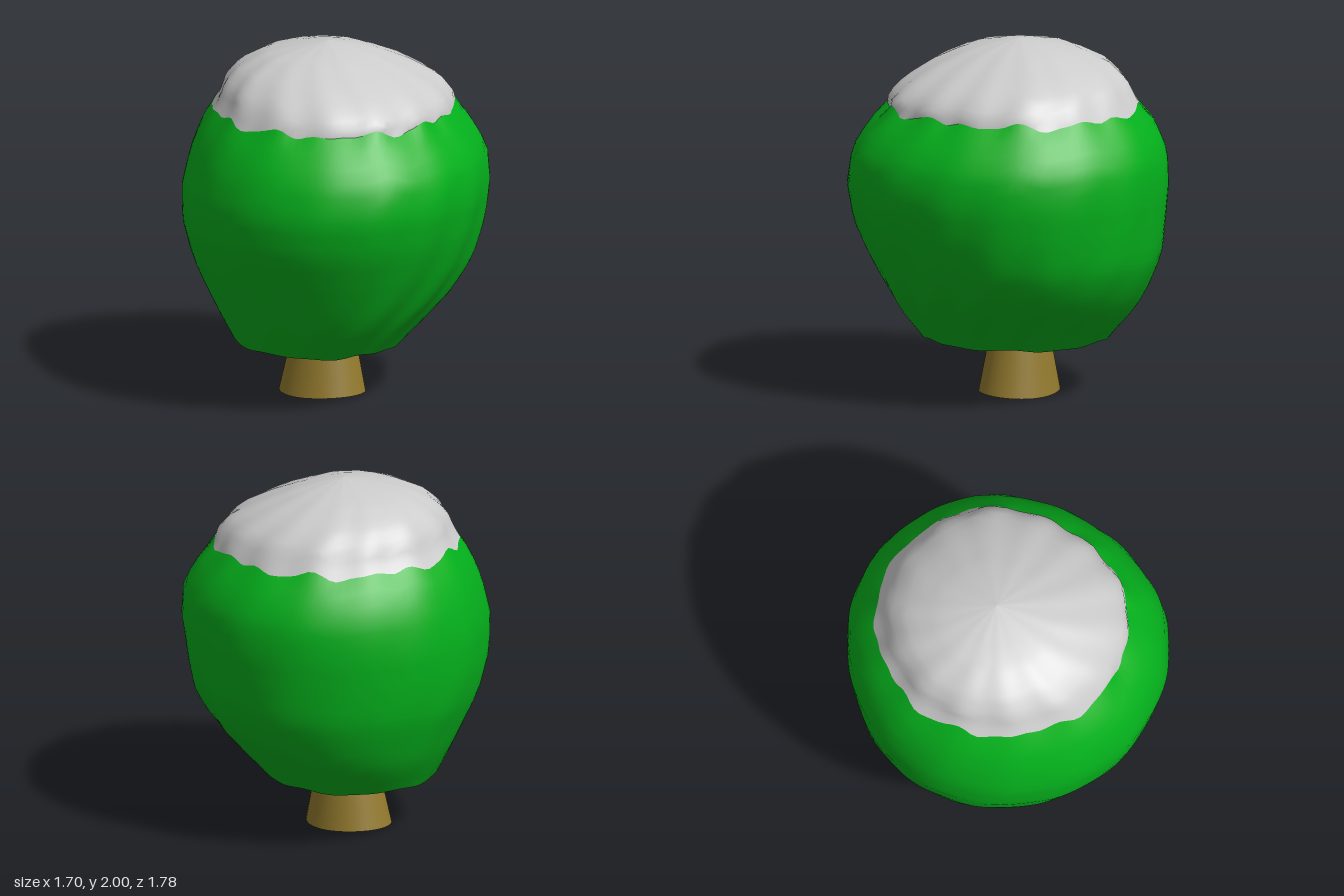
import * as THREE from 'three';

// Outline of the crown: y, left x, right x, back z, front z
const OUTLINE = [
  [0.30, -0.55, 0.38, -0.565, 0.435],
  [0.34, -0.575, 0.41, -0.59, 0.465],
  [0.50, -0.655, 0.56, -0.72, 0.595],
  [0.63, -0.72, 0.68, -0.78, 0.67],
  [0.80, -0.80, 0.78, -0.845, 0.755],
  [1.00, -0.855, 0.825, -0.87, 0.845],
  [1.20, -0.86, 0.85, -0.885, 0.887],
  [1.385, -0.815, 0.838, -0.873, 0.86],
  [1.54, -0.75, 0.75, -0.81, 0.76],
  [1.63, -0.69, 0.67, -0.735, 0.66],
  [1.69, -0.655, 0.65, -0.695, 0.655],
  [1.775, -0.62, 0.585, -0.655, 0.56],
  [1.86, -0.535, 0.43, -0.57, 0.41],
  [1.94, -0.385, 0.235, -0.40, 0.22],
  [1.982, -0.18, 0.07, -0.21, 0.05],
  [2.00, -0.04, -0.04, -0.07, -0.07],
];

function outlineAt(y) {
  let k = 0;
  while (k < OUTLINE.length - 2 && y > OUTLINE[k + 1][0]) k++;
  const t = (y - OUTLINE[k][0]) / (OUTLINE[k + 1][0] - OUTLINE[k][0]);
  return OUTLINE[k].map((v, i) => v + (OUTLINE[k + 1][i] - v) * t);
}

// Point on the crown: flatter at its front left corner, with shallow folds that twist as they climb
function crownPoint(angle, y) {
  const [, x0, x1, z0, z1] = outlineAt(y);
  const h = y - 0.3;
  const swirl = angle - 0.9 * h + 0.3 * h * h;
  const creased = Math.max(0, Math.cos(angle - 0.7 - 0.3 * h)) * Math.max(0, 1 - Math.abs(h - 0.3) / 0.9);
  const cap = THREE.MathUtils.smoothstep(y, 1.5, 1.72);
  const depth = 0.004 + 0.014 * creased + 0.014 * cap;
  const wave = Math.sin(14 * swirl) * 0.7 + Math.sin(5 * swirl + 1) * 0.3;
  const diagonal = Math.sin(2 * angle);
  const corner = diagonal > 0 ? (Math.cos(angle) > 0 ? -0.055 * diagonal : 0) : -0.016 * diagonal;
  const scale = 1 + corner - depth * (0.25 + wave);
  return [
    (x0 + x1) / 2 + (x1 - x0) / 2 * scale * Math.sin(angle),
    y,
    (z0 + z1) / 2 + (z1 - z0) / 2 * scale * Math.cos(angle),
  ];
}

// Ragged line where the cap meets the leaves, and the lower leaf edge
const capEdge = a => 1.638 + 0.013 * Math.sin(14 * a + 0.6) + 0.011 * Math.sin(9 * a + 2) + 0.006 * Math.sin(23 * a);
const leafEdge = a => 0.322 + 0.006 * Math.sin(6 * a) + 0.004 * Math.sin(11 * a);

// Closed rings of points joined into a smooth skin
function skin(rows, cols, pointAt) {
  const positions = [], index = [];
  for (let j = 0; j <= rows; j++) {
    for (let i = 0; i < cols; i++) positions.push(...pointAt(i / cols * Math.PI * 2, j / rows));
  }
  for (let j = 0; j < rows; j++) {
    for (let i = 0; i < cols; i++) {
      const n = (i + 1) % cols;
      const a = j * cols + i, b = j * cols + n, c = b + cols, d = a + cols;
      index.push(a, b, c, a, c, d);
    }
  }
  const geometry = new THREE.BufferGeometry();
  geometry.setAttribute('position', new THREE.Float32BufferAttribute(positions, 3));
  geometry.setIndex(index);
  geometry.computeVertexNormals();
  return geometry;
}

function part(name, geometry, color) {
  const material = new THREE.MeshStandardMaterial({ color, side: THREE.DoubleSide });
  const mesh = new THREE.Mesh(geometry, material);
  mesh.name = name;
  return mesh;
}

export function createModel() {
  const group = new THREE.Group();
  group.name = 'snowyTree';

  // Leaves: hollow skin, open underneath
  group.add(part('foliage', skin(18, 112, (a, s) =>
    crownPoint(a, THREE.MathUtils.lerp(leafEdge(a), capEdge(a), s))), 0x04b01c));

  // Snow: domed cap continuing the crown up to its peak
  group.add(part('snowCap', skin(14, 112, (a, s) =>
    crownPoint(a, THREE.MathUtils.lerp(capEdge(a), 2, Math.sin(s * Math.PI / 2)))), 0xcccccc));

  // Trunk: tapered open tube, slightly oval, with an uneven foot
  group.add(part('trunk', skin(6, 40, (a, s) => {
    const radius = 0.23 - 0.112 * s + 0.016 * (1 - s) * Math.sin(2 * a);
    const foot = (0.01 + 0.006 * Math.sin(2 * a + 1)) * (1 - s);
    return [-0.07 + 0.015 * s + radius * Math.sin(a), foot + 0.6 * s, -0.078 + radius * Math.cos(a)];
  }), 0x937a2e));

  return group;
}
